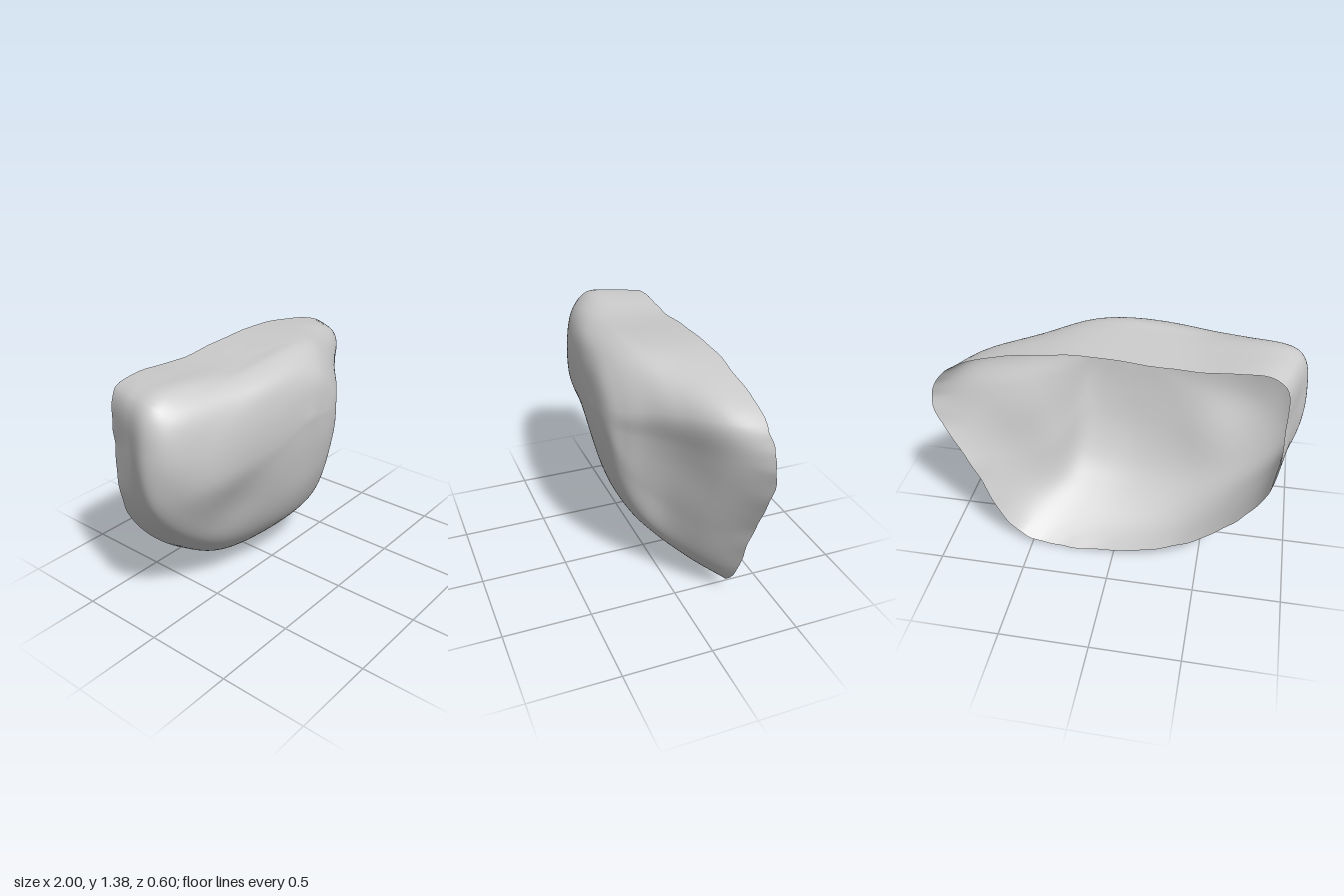
import * as THREE from 'three';

// Each contour: depth z, then 12 [x, y] points running counter-clockwise from the right tip.
const CONTOURS = [
  { z: -0.29, p: [[1, 1], [0.88, 1.21], [0.3, 1.36], [-0.38, 1.34], [-0.86, 1.32], [-0.9, 1.03], [-0.87, 0.63], [-0.67, 0.34], [-0.32, 0.1], [0.26, 0.0], [0.58, 0.08], [0.82, 0.55]] },
  { z: -0.12, p: [[0.76, 0.98], [0.77, 1.2], [0.3, 1.362], [-0.38, 1.345], [-0.91, 1.33], [-0.955, 1.07], [-0.91, 0.7], [-0.71, 0.42], [-0.35, 0.17], [0.16, 0.11], [0.48, 0.2], [0.65, 0.54]] },
  { z: 0.03, p: [[0.53, 0.97], [0.56, 1.17], [0.27, 1.355], [-0.38, 1.348], [-0.93, 1.33], [-1, 1.1], [-0.955, 0.78], [-0.73, 0.51], [-0.37, 0.31], [0.1, 0.24], [0.34, 0.31], [0.42, 0.58]] },
  { z: 0.13, p: [[0.4, 0.97], [0.42, 1.14], [0.2, 1.34], [-0.4, 1.342], [-0.88, 1.26], [-0.95, 1.08], [-0.88, 0.83], [-0.66, 0.62], [-0.34, 0.45], [0.05, 0.36], [0.27, 0.42], [0.34, 0.65]] },
  { z: 0.22, p: [[0.31, 0.98], [0.31, 1.1], [0.12, 1.29], [-0.36, 1.3], [-0.66, 1.17], [-0.74, 1.03], [-0.71, 0.88], [-0.5, 0.74], [-0.26, 0.63], [0.03, 0.57], [0.2, 0.6], [0.28, 0.75]] },
  { z: 0.28, p: [[0.22, 1], [0.2, 1.08], [0.07, 1.21], [-0.19, 1.21], [-0.34, 1.12], [-0.37, 1.03], [-0.34, 0.95], [-0.24, 0.89], [-0.12, 0.83], [0.03, 0.8], [0.14, 0.82], [0.21, 0.91]] },
];
const CREST = new THREE.Vector3(-0.02, 1.03, 0.308);

// Soft hollows and swellings of the face: centre, radius and depth
const DENTS = [
  { x: 0.54, y: 0.87, r: 0.2, d: -0.022 },
  { x: -0.48, y: 0.65, r: 0.2, d: -0.035 },
  { x: -0.02, y: 0.54, r: 0.18, d: 0.012 },
];
const dentAt = (x, y) => DENTS.reduce(
  (sum, t) => sum + t.d * Math.exp(-((x - t.x) ** 2 + (y - t.y) ** 2) / t.r ** 2), 0);

// Smooth skin lofted over the contours, from the open rim to the crest
function shellGeometry(around = 120, along = 48) {
  const spokes = CONTOURS[0].p.map((_, k) => new THREE.CatmullRomCurve3([
    ...CONTOURS.map(({ z, p }) => new THREE.Vector3(p[k][0], p[k][1], z)),
    CREST.clone(),
  ]));
  const positions = [];
  const index = [];
  for (let j = 0; j < along; j++) {
    const v = j / along;
    const loop = new THREE.CatmullRomCurve3(spokes.map((s) => s.getPoint(v)), true);
    for (let i = 0; i < around; i++) {
      const q = loop.getPoint(i / around);
      const a = (i / around) * Math.PI * 2;
      // Slightly ragged edge fading out away from the rim
      const chip = 0.003 * Math.max(0, 1 - v * 12) * (Math.sin(a * 17) + Math.sin(a * 29 + 1));
      const dent = dentAt(q.x, q.y) * Math.min(1, v * 5);
      positions.push(q.x, q.y, q.z + chip + dent);
      const n = (i + 1) % around;
      const r = j * around;
      if (j < along - 1) {
        index.push(r + i, r + n, r + around + i, r + n, r + around + n, r + around + i);
      } else {
        index.push(r + i, r + n, along * around);
      }
    }
  }
  positions.push(CREST.x, CREST.y, CREST.z + dentAt(CREST.x, CREST.y));
  const g = new THREE.BufferGeometry();
  g.setAttribute('position', new THREE.Float32BufferAttribute(positions, 3));
  g.setIndex(index);
  g.computeVertexNormals();
  return g;
}

export function createModel() {
  const model = new THREE.Group();
  model.name = 'rockFace';
  const shell = new THREE.Mesh(
    shellGeometry(),
    new THREE.MeshStandardMaterial({ color: 0xcccccc, side: THREE.DoubleSide }),
  );
  shell.name = 'rockShell';
  model.add(shell);
  return model;
}
